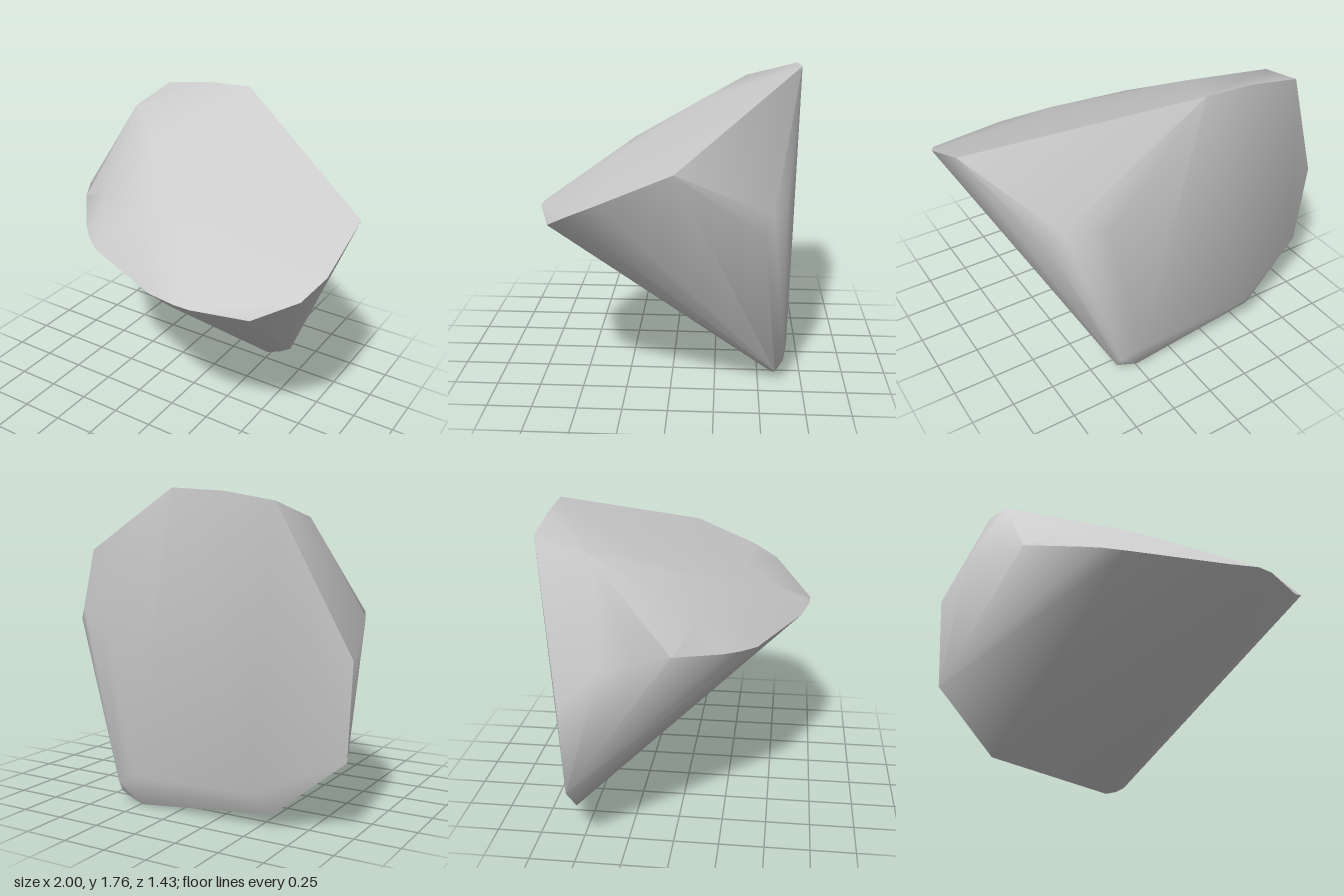
import * as THREE from 'three';
import { ConvexGeometry } from 'three/addons/geometries/ConvexGeometry.js';
import { toCreasedNormals } from 'three/addons/utils/BufferGeometryUtils.js';

// Corner points of the boulder, ring by ring
const rings = {
  // upper rim around the sloping top face
  top: [
    [-0.06, 1.76, -0.72], [-0.36, 1.74, -0.715], [-0.65, 1.69, -0.71], [-0.7, 1.61, -0.42],
    [-0.38, 1.5, -0.13], [1, 1.4, -0.05], [1, 1.24, 0.33], [0.94, 1.16, 0.49],
  ],
  // slight swelling of the top towards the front and left
  swelling: [
    [0.3, 1.29, 0.31], [-0.2, 1.31, 0.25], [0.2, 1.22, 0.45], [-0.55, 1.25, 0.12],
  ],
  // overhanging front ridge, running round to the left side
  ridge: [
    [0.73, 1.05, 0.62], [0.43, 1.06, 0.71], [0.33, 1.06, 0.71], [0.15, 1.04, 0.66],
    [-0.4, 1.04, 0.42], [-0.51, 1.055, 0.34], [-0.6, 1.07, 0.25], [-0.8, 1.12, 0],
    [-0.9, 1.12, -0.16], [-0.97, 1.1, -0.33], [-1, 0.92, -0.55],
  ],
  // rounded shoulder at the back of the right-hand slope
  shoulder: [
    [0.73, 1.02, -0.5], [0.67, 1.1, -0.55], [0.56, 1.13, -0.62], [0.46, 1.1, -0.66],
  ],
  // narrow foot
  foot: [
    [-0.97, 0.4, -0.535], [-0.58, 0.08, -0.585], [-0.5, 0.2, -0.665], [0.24, 0.01, -0.55],
    [0.24, 0, -0.6], [0.31, 0.02, -0.59], [0.38, 0.06, -0.6], [0.37, 0.13, -0.645], [0.25, 0.18, -0.668],
  ],
};

export function createModel() {
  const group = new THREE.Group();
  group.name = 'rock';

  const stone = new THREE.MeshStandardMaterial({ color: 0xcccccc });
  stone.name = 'light grey stone';

  // One faceted hull, softened across all but the sharpest edges
  const points = Object.values(rings).flat().map((p) => new THREE.Vector3(...p));
  const boulder = new THREE.Mesh(toCreasedNormals(new ConvexGeometry(points), 0.85), stone);
  boulder.name = 'boulder';
  group.add(boulder);

  return group;
}
